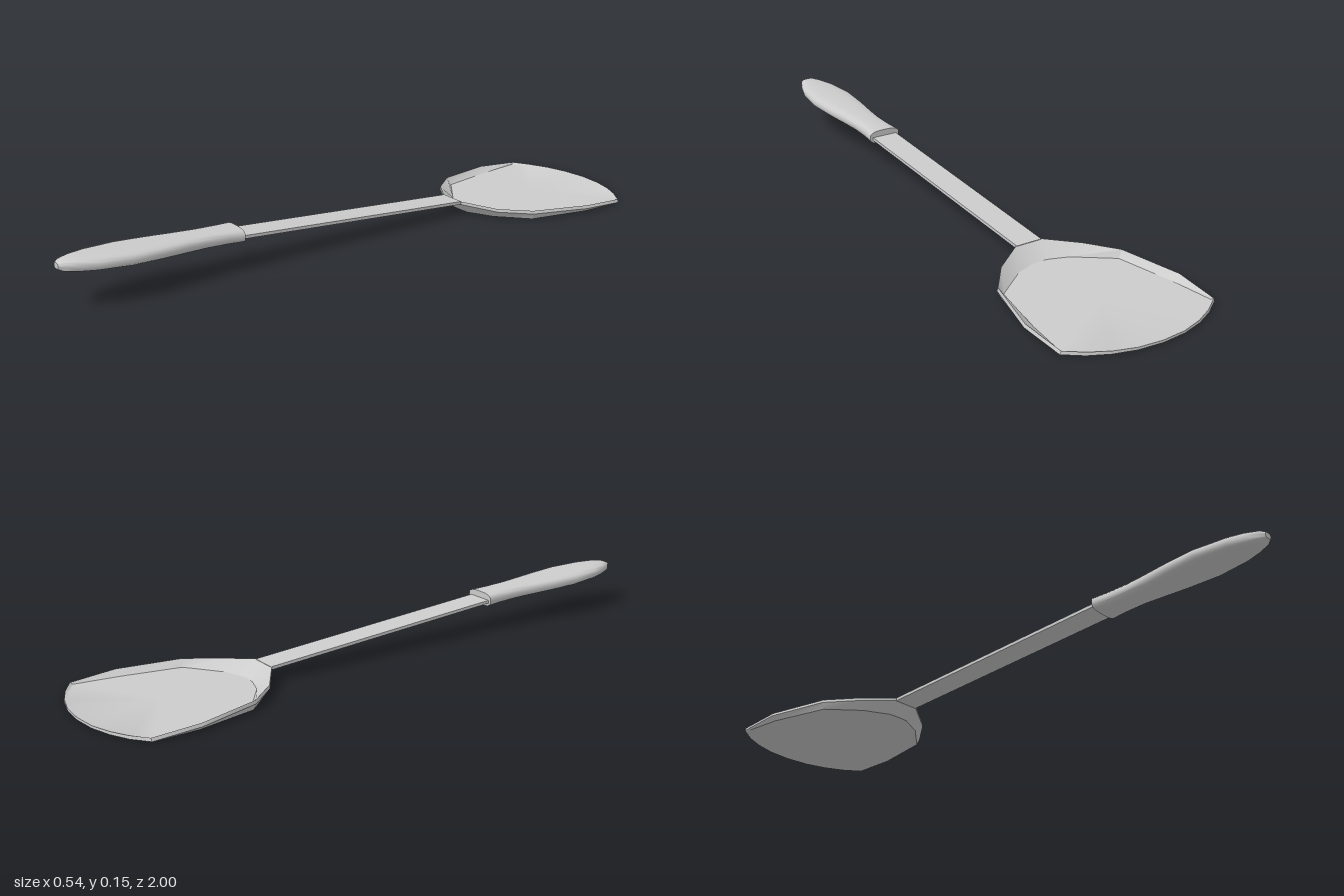
import * as THREE from 'three';
import { toCreasedNormals } from 'three/addons/utils/BufferGeometryUtils.js';

const material = new THREE.MeshStandardMaterial({ color: 0xcccccc });

// Skin over closed rings of equal point count; a ring may collapse to one point
function loft(rings, crease) {
  const pos = [];
  const tri = (a, b, c) => {
    if (a.distanceTo(b) < 1e-6 || b.distanceTo(c) < 1e-6 || a.distanceTo(c) < 1e-6) return;
    for (const p of [a, b, c]) pos.push(p.x, p.y, p.z);
  };
  for (let r = 0; r < rings.length - 1; r++) {
    const a = rings[r], b = rings[r + 1], n = a.length;
    for (let i = 0; i < n; i++) {
      const j = (i + 1) % n;
      tri(a[i], b[j], b[i]);
      tri(a[i], a[j], b[j]);
    }
  }
  const geometry = new THREE.BufferGeometry();
  geometry.setAttribute('position', new THREE.Float32BufferAttribute(pos, 3));
  return toCreasedNormals(geometry, crease);
}

const V = (x, y, z) => new THREE.Vector3(x, y, z);

function makeBlade() {
  // Right half, tip to neck: rim x, rim y, rim z, floor x, floor z
  const half = [
    [0, 0.009, -1, 0, -0.992],
    [0.08, 0.009, -0.993, 0.08, -0.985],
    [0.15, 0.01, -0.973, 0.148, -0.965],
    [0.21, 0.011, -0.944, 0.206, -0.936],
    [0.265, 0.013, -0.906, 0.257, -0.898],
    [0.271, 0.023, -0.757, 0.24, -0.757],
    [0.222, 0.03, -0.56, 0.204, -0.566],
    [0.148, 0.034, -0.47, 0.09, -0.48],
    [0.045, 0.046, -0.4, 0.03, -0.459],
    [0, 0.046, -0.4, 0, -0.456],
  ];
  const mirrored = half.slice(1, -1).reverse().map(([x, y, z, fx, fz]) => [-x, y, z, -fx, fz]);
  const outline = [...half, ...mirrored];
  const mix = THREE.MathUtils.lerp;
  return loft([
    outline.map(() => V(0, 0.007, -0.75)),
    outline.map(([, , , fx, fz]) => V(fx, 0.007, fz)),
    outline.map(([x, y, z]) => V(x * 0.985, y, z)),
    outline.map(([x, y, z]) => V(x, Math.max(0.001, y - 0.01), z)),
    outline.map(([x, , z, fx, fz]) => V(mix(fx, x, 0.5), 0, mix(fz, z, 0.4))),
    outline.map(() => V(0, 0, -0.75)),
  ], 0.5);
}

function makeGrip() {
  // Tip to collar: z, half width, half height
  const sections = [
    [1, 0, 0], [1, 0.014, 0.009], [0.985, 0.027, 0.016], [0.95, 0.043, 0.02], [0.9, 0.06, 0.021],
    [0.8, 0.073, 0.022], [0.7, 0.066, 0.022], [0.62, 0.056, 0.022], [0.55, 0.049, 0.022],
    [0.48, 0.05, 0.022], [0.43, 0.055, 0.022], [0.43, 0, 0],
  ];
  const n = 20;
  const round = (v) => Math.sign(v) * Math.abs(v) ** 0.65;
  return loft(sections.map(([z, w, h]) => Array.from({ length: n }, (_, i) => {
    const t = (i / n) * Math.PI * 2;
    const centre = 0.105 + (z - 0.43) * 0.042;
    return V(round(Math.sin(t)) * w, centre + round(Math.cos(t)) * h, z);
  })), 0.8);
}

export function createModel() {
  const group = new THREE.Group();
  const add = (name, geometry) => {
    const mesh = new THREE.Mesh(geometry, material);
    mesh.name = name;
    group.add(mesh);
    return mesh;
  };

  add('blade', makeBlade());
  add('grip', makeGrip());

  // Flat strip rising from the blade neck into the grip
  const start = V(0, 0.041, -0.402), end = V(0, 0.106, 0.5);
  const shaft = add('shaft', new THREE.BoxGeometry(0.088, 0.01, start.distanceTo(end)));
  shaft.position.copy(start).lerp(end, 0.5);
  shaft.rotation.x = -Math.atan2(end.y - start.y, end.z - start.z);

  return group;
}
